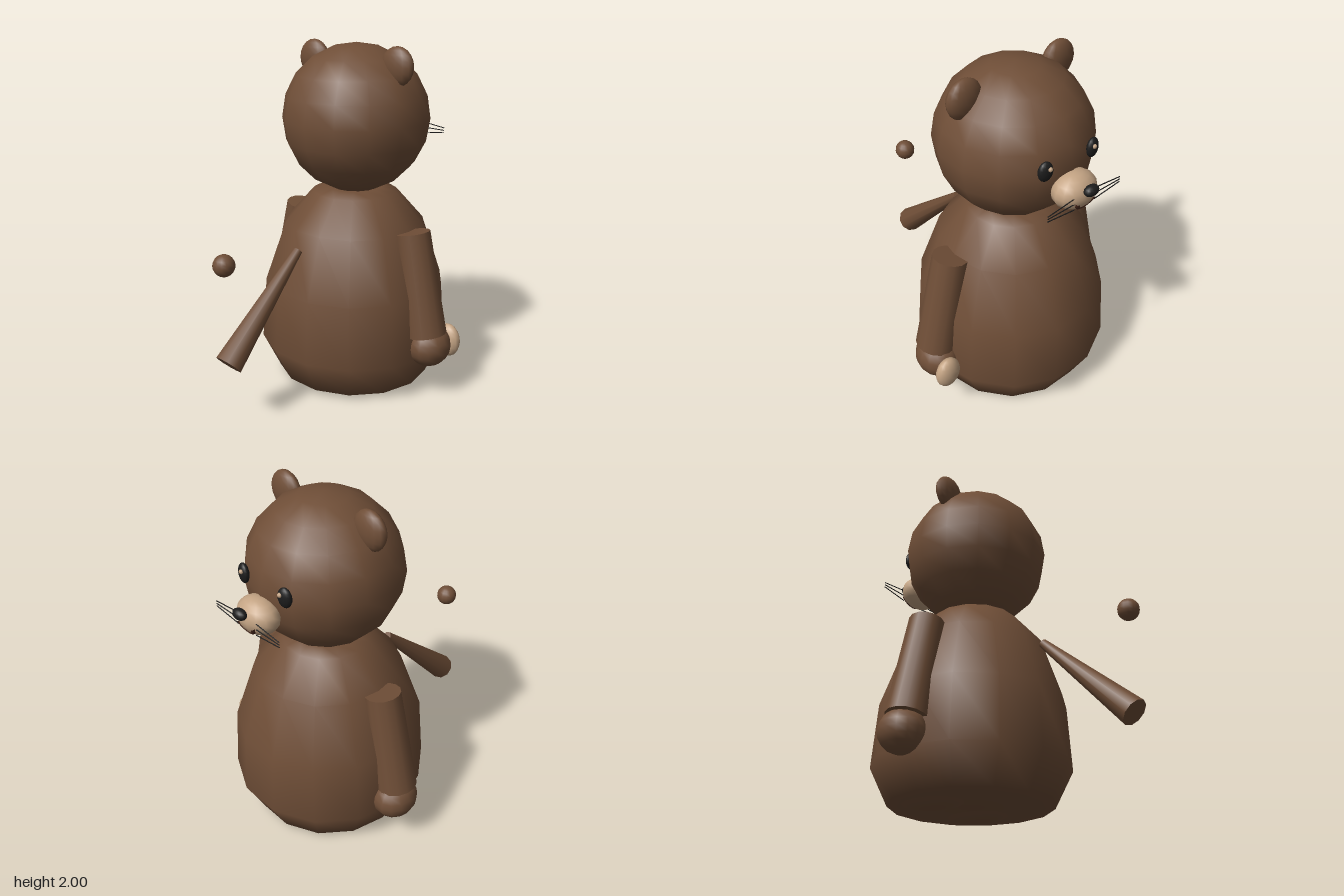
import * as THREE from 'three';

const paint = (name, color) => {
  const m = new THREE.MeshStandardMaterial({ color });
  m.name = name;
  return m;
};

export function createModel() {
  const model = new THREE.Group();
  model.name = 'sittingBear';
  const fur = paint('brownFur', 0x6f4e37);
  const cream = paint('creamFur', 0xc4a484);
  const black = paint('black', 0x1c1c1c);
  const mouthBrown = paint('mouthBrown', 0x4a2a1e);

  const add = (name, geometry, material, pos = [0, 0, 0]) => {
    const mesh = new THREE.Mesh(geometry, material);
    mesh.name = name;
    mesh.position.set(...pos);
    model.add(mesh);
    return mesh;
  };

  // Ellipsoid given by its centre and three radii
  const blob = (name, material, pos, radii, w = 14, h = 10) =>
    add(name, new THREE.SphereGeometry(1, w, h).scale(...radii), material, pos);

  // Tapered rod between two points
  const rod = (name, material, from, to, r0, r1, sides) => {
    const a = new THREE.Vector3(...from), b = new THREE.Vector3(...to);
    const axis = a.clone().sub(b);
    const mesh = add(name, new THREE.CylinderGeometry(r0, r1, axis.length(), sides), material);
    mesh.position.copy(a).add(b).multiplyScalar(0.5);
    mesh.quaternion.setFromUnitVectors(new THREE.Vector3(0, 1, 0), axis.normalize());
    return mesh;
  };

  // Pear-shaped body, the animal looks toward -z
  const profile = [
    [0, 0.03], [0.458, 0.03], [0.562, 0.24], [0.535, 0.61],
    [0.414, 0.96], [0.25, 1.145], [0.158, 1.168], [0, 1.168],
  ].map(([r, y]) => new THREE.Vector2(r, y));
  add('body', new THREE.LatheGeometry(profile, 14).rotateY(Math.PI / 2), fur, [0, 0, -0.243]);

  // Head
  add('head', new THREE.SphereGeometry(0.427, 14, 10).rotateY(Math.PI / 2), fur, [0, 1.573, -0.243]);

  // Muzzle, nose and smile
  blob('muzzle', cream, [0, 1.475, -0.69], [0.13, 0.1, 0.1]);
  blob('nose', black, [0, 1.527, -0.802], [0.045, 0.03, 0.03]);
  const smile = add('mouth', new THREE.TorusGeometry(0.055, 0.014, 8, 16, Math.PI).rotateZ(Math.PI),
    mouthBrown, [0, 1.457, -0.772]);
  smile.rotation.x = -0.4;

  for (const s of [1, -1]) {
    const side = s > 0 ? 'left' : 'right';
    blob(side + 'Ear', fur, [s * 0.31, 1.89, -0.225], [0.107, 0.109, 0.051]);

    // Eyes with a small glint
    const eye = blob(side + 'Eye', black, [s * 0.16, 1.625, -0.644], [0.042, 0.056, 0.025]);
    eye.rotation.y = s * -0.2;
    blob(side + 'EyeGlint', cream, [s * 0.15, 1.645, -0.667], [0.013, 0.013, 0.012], 8, 6);

    // Whiskers
    for (const k of [-1, 0, 1])
      rod(side + 'Whisker', black, [s * 0.07, 1.455 + k * 0.035, -0.765],
        [s * 0.25, 1.455 + k * 0.015, -0.765], 0.003, 0.003, 5);

    // Arms, hands and feet
    rod(side + 'Arm', fur, [s * 0.435, 0.976, -0.243], [s * 0.556, 0.388, -0.243], 0.1, 0.117, 14);
    blob(side + 'Hand', fur, [s * 0.565, 0.315, -0.262], [0.122, 0.122, 0.135]);
    blob(side + 'Foot', fur, [s * 0.2, 0.065, -0.35], [0.17, 0.065, 0.22]);
  }

  // Single paw pad on the left hand
  blob('leftPawPad', cream, [0.6, 0.31, -0.402], [0.078, 0.1, 0.048]);

  // Detached tail and its tip ball
  rod('tail', fur, [0, 0.885, 0.235], [0, 0.371, 0.765], 0.026, 0.078, 10);
  blob('tailTip', fur, [0, 0.94, 0.77], [0.06, 0.06, 0.06]);

  return model;
}
